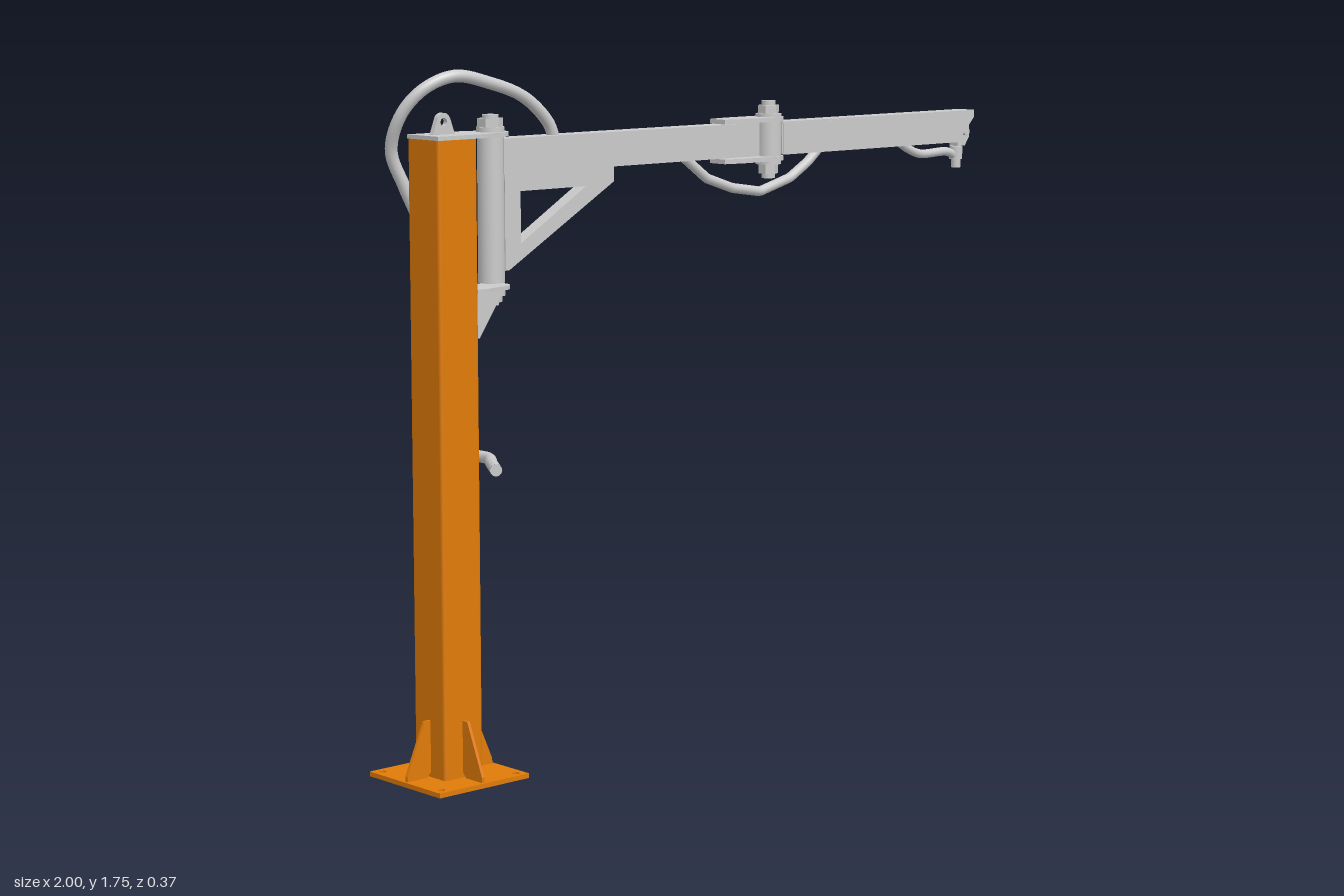
import * as THREE from 'three';

const GREY = new THREE.MeshStandardMaterial({ color: 0xcccccc });
const GREY_FLAT = new THREE.MeshStandardMaterial({ color: 0xcccccc, flatShading: true });
const ORANGE = new THREE.MeshStandardMaterial({ color: 0xe07b08 });
const Z = 0.044;                       // plane of the column and arms
const COL = -0.859, PIVOT = -0.71, ELBOW = 0.231;

const v2 = (pts) => pts.map(([x, y]) => new THREE.Vector2(x, y));

export function createModel() {
  const root = new THREE.Group();
  const crane = new THREE.Group();
  crane.name = 'crane';
  crane.position.z = Z;
  root.add(crane);

  function add(name, geo, mat = GREY, parent = crane) {
    const m = new THREE.Mesh(geo, mat);
    m.name = name;
    parent.add(m);
    return m;
  }
  // Box given by its limits
  function box(name, x0, x1, y0, y1, z0, z1, mat = GREY, parent = crane) {
    const g = new THREE.BoxGeometry(x1 - x0, y1 - y0, z1 - z0);
    g.translate((x0 + x1) / 2, (y0 + y1) / 2, (z0 + z1) / 2);
    return add(name, g, mat, parent);
  }
  function cyl(name, x, y0, y1, r, mat = GREY, sides = 24, z = 0) {
    const g = new THREE.CylinderGeometry(r, r, y1 - y0, sides);
    g.translate(x, (y0 + y1) / 2, z);
    return add(name, g, mat);
  }
  // Upright plate drawn in x/y, centred on depth z
  function upright(name, shape, t, z = 0, mat = GREY, parent = crane) {
    const g = new THREE.ExtrudeGeometry(shape, { depth: t, bevelEnabled: false, curveSegments: 12 });
    g.translate(0, 0, z - t / 2);
    return add(name, g, mat, parent);
  }
  // Flat plate drawn in x/z, top face at y
  function flat(name, shape, t, y, mat = GREY) {
    const g = new THREE.ExtrudeGeometry(shape, { depth: t, bevelEnabled: false, curveSegments: 12 });
    g.rotateX(Math.PI / 2);
    g.translate(0, y, 0);
    return add(name, g, mat);
  }
  // Tongue: square end of half width a at x0, round end of radius r about cx
  function tongue(x0, x1, a, cx, r) {
    const s = new THREE.Shape();
    s.moveTo(x0, -a);
    s.lineTo(x1, -a);
    s.lineTo(cx, -r);
    s.absarc(cx, 0, r, -Math.PI / 2, Math.PI / 2, false);
    s.lineTo(x1, a);
    s.lineTo(x0, a);
    return s;
  }
  function holeAt(shape, x, y, r) {
    const p = new THREE.Path();
    p.absarc(x, y, r, 0, Math.PI * 2, true);
    shape.holes.push(p);
  }

  // Base plate with four bolt holes
  const b = 0.14;
  const base = new THREE.Shape(v2([[COL - b, -b], [COL + b, -b], [COL + b, b], [COL - b, b]]));
  for (const sx of [-1, 1]) for (const sz of [-1, 1]) holeAt(base, COL + sx * 0.117, sz * 0.117, 0.009);
  flat('basePlate', base, 0.012, 0.012, ORANGE);

  // Column, a square tube with softened corners
  const h = 0.06, c = 0.008, col = new THREE.Shape();
  [[1, 1], [-1, 1], [-1, -1], [1, -1]].forEach(([sx, sz], i) => {
    col.absarc(COL + sx * (h - c), sz * (h - c), c, i * Math.PI / 2, (i + 1) * Math.PI / 2, false);
  });
  flat('column', col, 1.57, 1.582, ORANGE);

  // Foot gussets on four sides
  for (let i = 0; i < 4; i++) {
    const g = new THREE.Group();
    g.name = 'footGusset';
    g.position.x = COL;
    g.rotation.y = i * Math.PI / 2;
    crane.add(g);
    upright('gussetPlate', new THREE.Shape(v2([[0.072, 0.012], [0.134, 0.012], [0.134, 0.025],
      [0.078, 0.155], [0.059, 0.155], [0.059, 0.026]])), 0.008, 0, ORANGE, g);
  }

  // Top plate and lifting eye
  flat('topPlate', tongue(COL - 0.06, COL + 0.09, 0.06, PIVOT, 0.045), 0.01, 1.592);
  const eye = new THREE.Shape();
  eye.moveTo(COL - 0.034, 1.59);
  eye.lineTo(COL + 0.034, 1.59);
  eye.lineTo(COL + 0.02, 1.63);
  eye.absarc(COL, 1.624, 0.02, 0.3, Math.PI - 0.3, false);
  holeAt(eye, COL, 1.622, 0.01);
  upright('liftingEye', eye, 0.014);

  // Lower bearing bracket
  flat('lowerPlate', tongue(COL + 0.058, COL + 0.09, 0.06, PIVOT, 0.045), 0.01, 1.216);
  for (const z of [-0.047, 0.047]) {
    upright('bracketGusset', new THREE.Shape(v2([[-0.80, 1.095], [-0.79, 1.095], [-0.725, 1.19],
      [-0.725, 1.207], [-0.80, 1.207]])), 0.008, z);
  }

  // Pivot barrel with nuts above and below
  cyl('pivotBarrel', PIVOT, 1.222, 1.582, 0.033);
  cyl('pivotCap', PIVOT, 1.592, 1.604, 0.035);
  cyl('pivotNut', PIVOT, 1.604, 1.625, 0.032, GREY_FLAT, 6);
  cyl('pivotPinTop', PIVOT, 1.625, 1.634, 0.02);
  cyl('pivotFoot', PIVOT, 1.19, 1.207, 0.034);
  cyl('pivotFootNut', PIVOT, 1.174, 1.19, 0.027, GREY_FLAT, 6);
  cyl('pivotPinBottom', PIVOT, 1.166, 1.174, 0.018);

  // Inner arm and triangular brace
  box('innerArm', -0.69, 0.172, 1.488, 1.575, -0.028, 0.028);
  const brace = new THREE.Shape(v2([[-0.682, 1.25], [-0.67, 1.25], [-0.327, 1.45], [-0.327, 1.488], [-0.682, 1.488]]));
  brace.holes.push(new THREE.Path(v2([[-0.632, 1.314], [-0.632, 1.443], [-0.42, 1.443]])));
  upright('armBrace', brace, 0.04);

  // Elbow fork and pin
  for (const y of [1.588, 1.485]) {
    const s = new THREE.Shape(v2([[0.048, -0.028], [0.11, -0.04], [ELBOW, -0.04]]));
    s.absarc(ELBOW, 0, 0.04, -Math.PI / 2, Math.PI / 2, false);
    s.lineTo(0.11, 0.04);
    s.lineTo(0.048, 0.028);
    flat('elbowForkPlate', s, 0.012, y);
  }
  cyl('elbowBarrel', ELBOW, 1.463, 1.596, 0.034);
  cyl('elbowNutTop', ELBOW, 1.596, 1.618, 0.028, GREY_FLAT, 6);
  cyl('elbowPinTop', ELBOW, 1.618, 1.63, 0.018);
  cyl('elbowNutBottom', ELBOW, 1.438, 1.463, 0.026, GREY_FLAT, 6);
  cyl('elbowPinBottom', ELBOW, 1.426, 1.438, 0.018);

  // Outer arm: rail open below, cut back at the tip
  const side = new THREE.Shape(v2([[0.258, 1.488], [0.935, 1.488], [0.998, 1.555], [0.998, 1.573], [0.258, 1.573]]));
  for (const z of [-0.025, 0.025]) upright('outerArmSide', side, 0.006, z);
  box('outerArmTop', 0.258, 0.998, 1.565, 1.574, -0.028, 0.028);
  for (const s of [-1, 1]) {
    box('railLip', 0.258, 0.935, 1.487, 1.493, s * 0.018 - 0.01, s * 0.018 + 0.01);
    box('elbowSidePlate', 0.258, 0.51, 1.492, 1.57, s * 0.029 - 0.001, s * 0.029 + 0.001);
  }
  box('elbowWeb', 0.255, 0.268, 1.49, 1.572, -0.027, 0.027);

  // Tip bracket and tool coupling
  box('tipBlock', 0.955, 0.982, 1.5, 1.567, -0.012, 0.012);
  upright('tipLug', new THREE.Shape(v2([[0.945, 1.475], [0.975, 1.475], [0.992, 1.5], [0.992, 1.54], [0.945, 1.54]])), 0.03);
  cyl('coupling', 0.955, 1.438, 1.474, 0.018, GREY, 16);
  cyl('couplingTip', 0.955, 1.415, 1.44, 0.013, GREY, 16);
  const tipPin = new THREE.CylinderGeometry(0.011, 0.011, 0.052, 16);
  tipPin.rotateX(Math.PI / 2);
  tipPin.translate(0.972, 1.515, 0);
  add('tipPin', tipPin);

  // Hoses, with closed ends
  function hose(name, pts, r, segs, smooth = true) {
    const v = pts.map((p) => new THREE.Vector3(...p));
    let curve = new THREE.CatmullRomCurve3(v, false, 'centripetal');
    if (!smooth) {
      curve = new THREE.CurvePath();
      for (let i = 1; i < v.length; i++) curve.add(new THREE.LineCurve3(v[i - 1], v[i]));
    }
    const g = new THREE.Group();
    g.name = name;
    root.add(g);
    add('hoseTube', new THREE.TubeGeometry(curve, segs, r, 12, false), GREY, g);
    for (const t of [0, 1]) {
      const cap = add('hoseEnd', new THREE.CircleGeometry(r, 12), GREY, g);
      const p = curve.getPointAt(t), d = curve.getTangentAt(t).multiplyScalar(t ? 1 : -1);
      cap.position.copy(p);
      cap.lookAt(p.clone().add(d));
    }
  }
  hose('supplyHose', [[-0.505, 1.56, Z], [-0.525, 1.605, Z], [-0.6, 1.67, Z], [-0.71, 1.71, Z], [-0.82, 1.73, 0.04],
    [-0.895, 1.70, 0.018], [-0.937, 1.64, -0.015], [-0.94, 1.55, -0.052], [-0.905, 1.46, -0.046], [-0.872, 1.37, -0.033],
    [-0.868, 1.255, -0.032], [-0.868, 1.1, -0.032], [-0.868, 0.985, -0.032], [-0.84, 0.9, -0.05], [-0.79, 0.82, -0.085],
    [-0.73, 0.765, -0.14], [-0.66, 0.755, -0.173], [-0.615, 0.755, -0.155], [-0.61, 0.755, -0.1],
    [-0.655, 0.755, -0.03], [-0.71, 0.755, 0.055]], 0.0155, 160);
  hose('elbowHose', [[-0.07, 1.495, Z], [0.01, 1.437, Z], [0.1, 1.407, Z], [0.2, 1.392, Z],
    [0.31, 1.422, Z], [0.375, 1.46, Z], [0.42, 1.497, Z]], 0.013, 60, false);
  hose('tipHose', [[0.725, 1.497, Z], [0.765, 1.475, Z], [0.81, 1.46, Z], [0.92, 1.46, Z], [0.955, 1.445, Z]], 0.012, 40);

  // Hose clamps on the back of the column
  for (const y of [1.257, 0.987]) {
    const ring = new THREE.CylinderGeometry(0.02, 0.02, 0.012, 20);
    ring.translate(-0.868, y, -0.032 - Z);
    add('hoseClamp', ring, ORANGE);
    box('clampFoot', -0.898, -0.838, y - 0.006, y + 0.006, -0.066, -0.058, ORANGE);
  }
  return root;
}
